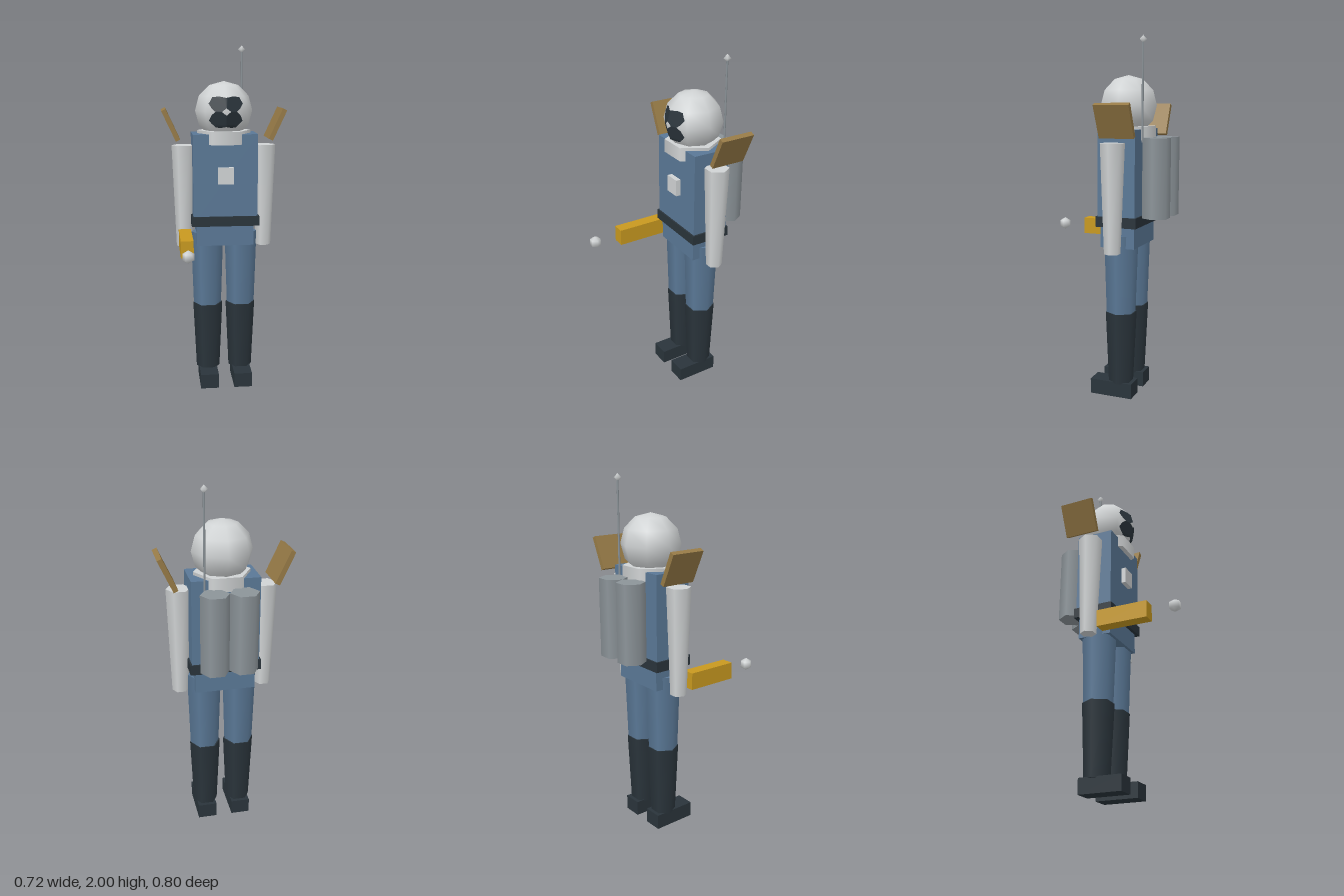
import * as THREE from 'three';

const mat = (name, color) => {
  const m = new THREE.MeshStandardMaterial({ color });
  m.name = name;
  return m;
};

export function createModel() {
  const suit = mat('suitBlue', 0x5a7896);
  const dark = mat('darkSlate', 0x2a343b);
  const white = mat('paleGrey', 0xd0d3d4);
  const steel = mat('tankGrey', 0x8c9499);
  const gold = mat('gold', 0xc8991f);
  const bronze = mat('bronze', 0x967a46);

  const model = new THREE.Group();
  model.name = 'explorer';
  const Z = -0.14; // body axis

  const add = (name, geo, m, x, y, z) => {
    const mesh = new THREE.Mesh(geo, m);
    mesh.name = name;
    mesh.position.set(x, y, z);
    model.add(mesh);
    return mesh;
  };
  const box = (name, m, w, h, d, x, y, z) => add(name, new THREE.BoxGeometry(w, h, d), m, x, y, z);
  // Six-sided column with corners on the x axis, from y0 to y1
  const hex = (name, m, rTop, rBottom, y0, y1, x, z) =>
    add(name, new THREE.CylinderGeometry(rTop, rBottom, y1 - y0, 6).rotateY(Math.PI / 6), m, x, (y0 + y1) / 2, z);

  // Torso
  box('torso', suit, 0.37, 0.51, 0.215, 0, 1.253, Z);
  box('belt', dark, 0.39, 0.057, 0.233, 0, 1.009, Z);
  box('pelvis', suit, 0.33, 0.127, 0.195, 0, 0.926, Z);
  box('chestPanel', white, 0.09, 0.095, 0.04, 0, 1.275, -0.025);
  hex('collar', white, 0.155, 0.155, 1.45, 1.525, 0, Z);

  // Limbs, shoulder plates and air tanks, mirrored
  for (const [side, s] of [['left', 1], ['right', -1]]) {
    hex(side + 'Thigh', suit, 0.096, 0.082, 0.48, 0.93, s * 0.1, Z);
    hex(side + 'Shin', dark, 0.088, 0.07, 0.08, 0.49, s * 0.098, Z);
    box(side + 'Boot', dark, 0.107, 0.086, 0.247, s * 0.1, 0.043, -0.098);
    hex(side + 'Arm', white, 0.067, 0.045, 0.845, 1.44, s * 0.235, Z);
    const plate = box(side + 'ShoulderPlate', bronze, 0.027, 0.19, 0.195, s * 0.306, 1.557, -0.178);
    plate.rotation.z = -s * 0.436;
    hex(side + 'Tank', steel, 0.078, 0.078, 1.03, 1.465, s * 0.078, -0.333);
  }

  // Antenna
  add('antennaRod', new THREE.CylinderGeometry(0.006, 0.006, 0.54, 6), steel, 0.118, 1.71, -0.265);
  add('antennaTip', new THREE.SphereGeometry(0.021, 5, 2), white, 0.118, 1.979, -0.265);

  // Hand tool and the small ball floating before it
  box('handTool', gold, 0.07, 0.095, 0.294, -0.235, 0.911, 0.075);
  add('floatingBall', new THREE.SphereGeometry(0.036, 6, 3).rotateY(Math.PI / 3), white, -0.237, 0.911, 0.37);

  // Helmet
  const helmetGeo = new THREE.SphereGeometry(0.165, 8, 6);
  add('helmet', helmetGeo, white, 0, 1.636, Z);
  add('visor', visorGeometry(helmetGeo), dark, 0, 1.636, Z + 0.003);

  return model;
}

// Visor: a band between two outlines, laid over the faceted front of the helmet
function visorGeometry(helmet) {
  const planes = [];
  const pos = helmet.attributes.position;
  const idx = helmet.index.array;
  for (let i = 0; i < idx.length; i += 3) {
    const [a, b, c] = [0, 1, 2].map((k) => new THREE.Vector3().fromBufferAttribute(pos, idx[i + k]));
    const p = new THREE.Plane().setFromCoplanarPoints(a, b, c);
    if (p.normal.z > 0.05) planes.push(p);
  }
  const depth = (x, y) =>
    Math.min(...planes.map((p) => (-p.constant - p.normal.x * x - p.normal.y * y) / p.normal.z));

  // Right half of the outer outline, from top to bottom, then mirrored
  const half = [[0, 0.076], [0.04, 0.084], [0.076, 0.079], [0.086, 0.058], [0.096, 0.045], [0.08, 0.018],
    [0.06, 0], [0.08, -0.018], [0.094, -0.05], [0.08, -0.066], [0.055, -0.088], [0.03, -0.09], [0, -0.084]];
  const outer = [...half, ...half.slice(1, -1).reverse().map(([x, y]) => [-x, y])];

  const steps = 8, split = 4;
  const n = outer.length * split;
  const verts = [], faces = [];
  for (let r = 0; r <= steps; r++) {
    for (let i = 0; i < n; i++) {
      const a = outer[Math.floor(i / split)];
      const b = outer[(Math.floor(i / split) + 1) % outer.length];
      const f = (i % split) / split;
      const ox = a[0] + (b[0] - a[0]) * f;
      const oy = a[1] + (b[1] - a[1]) * f;
      // Inner outline is a small diamond along the same ray
      const k = 1 / (Math.abs(ox) / 0.026 + Math.abs(oy) / 0.02);
      const t = k + (1 - k) * (r / steps);
      verts.push(ox * t, oy * t, depth(ox * t, oy * t));
      if (r < steps) {
        const j = (i + 1) % n;
        const p = r * n + i, q = r * n + j;
        faces.push(p, q, p + n, q, q + n, p + n);
      }
    }
  }
  const geo = new THREE.BufferGeometry();
  geo.setAttribute('position', new THREE.Float32BufferAttribute(verts, 3));
  geo.setIndex(faces);
  geo.computeVertexNormals();
  return geo;
}
